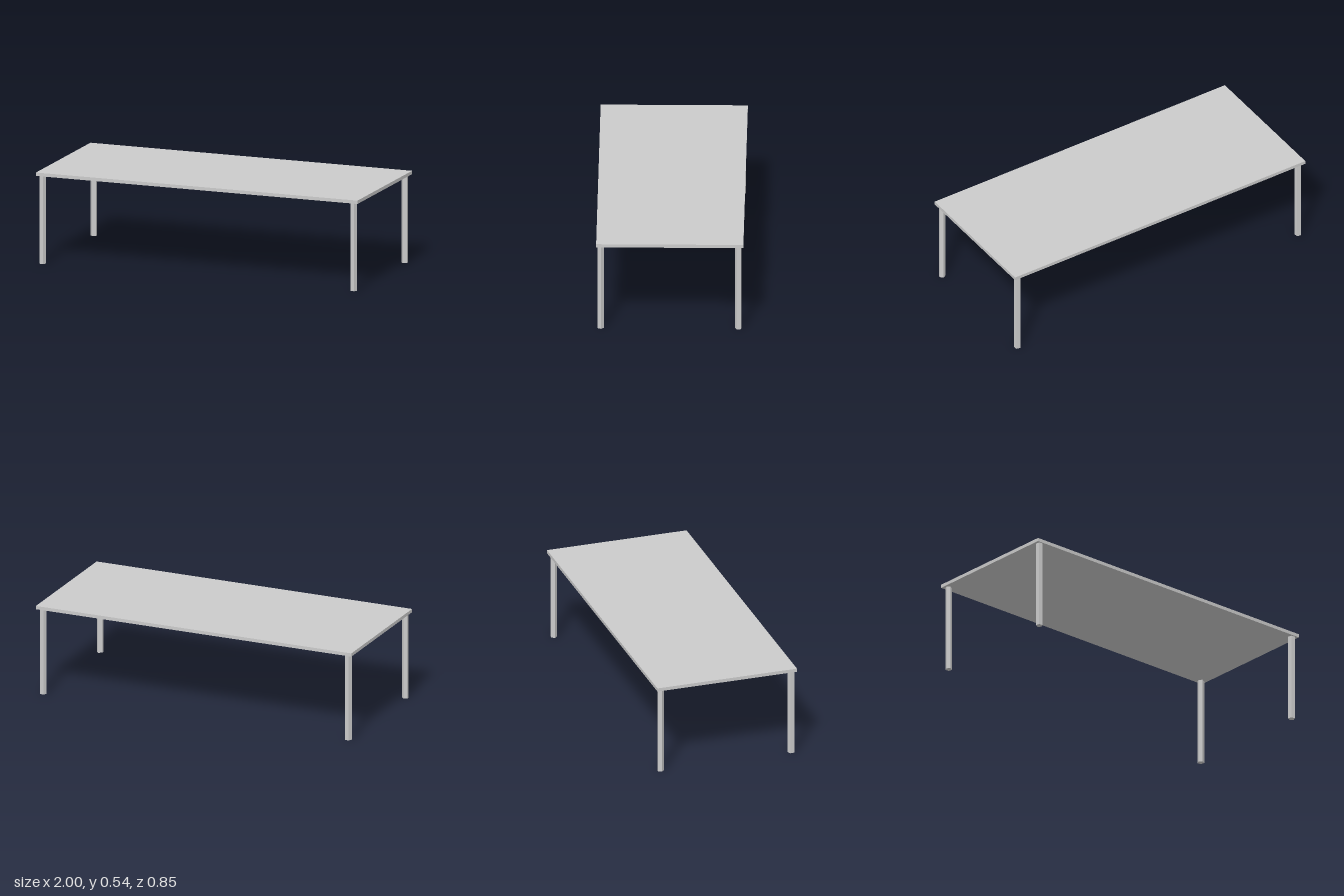
import * as THREE from 'three';

export function createModel() {
  const group = new THREE.Group();
  const material = new THREE.MeshStandardMaterial({ color: 0xcccccc, flatShading: true });

  const topY = 0.54;
  const thickness = 0.02;
  const legHeight = topY - thickness;

  // Thin rectangular slab
  const top = new THREE.Mesh(new THREE.BoxGeometry(2, thickness, 0.85), material);
  top.name = 'tableTop';
  top.position.y = topY - thickness / 2;
  group.add(top);

  // Five-sided legs; the back pair is turned half a circle
  const legGeometry = new THREE.CylinderGeometry(
    0.0205, 0.0205, legHeight, 5, 1, false, THREE.MathUtils.degToRad(26));
  for (const [end, z, turn] of [['front', 0.4, 0], ['back', -0.396, Math.PI]]) {
    for (const [side, x] of [['Left', 0.966], ['Right', -0.968]]) {
      const leg = new THREE.Mesh(legGeometry, material);
      leg.name = `${end}${side}Leg`;
      leg.position.set(x, legHeight / 2, z);
      leg.rotation.y = turn;
      group.add(leg);
    }
  }
  return group;
}
